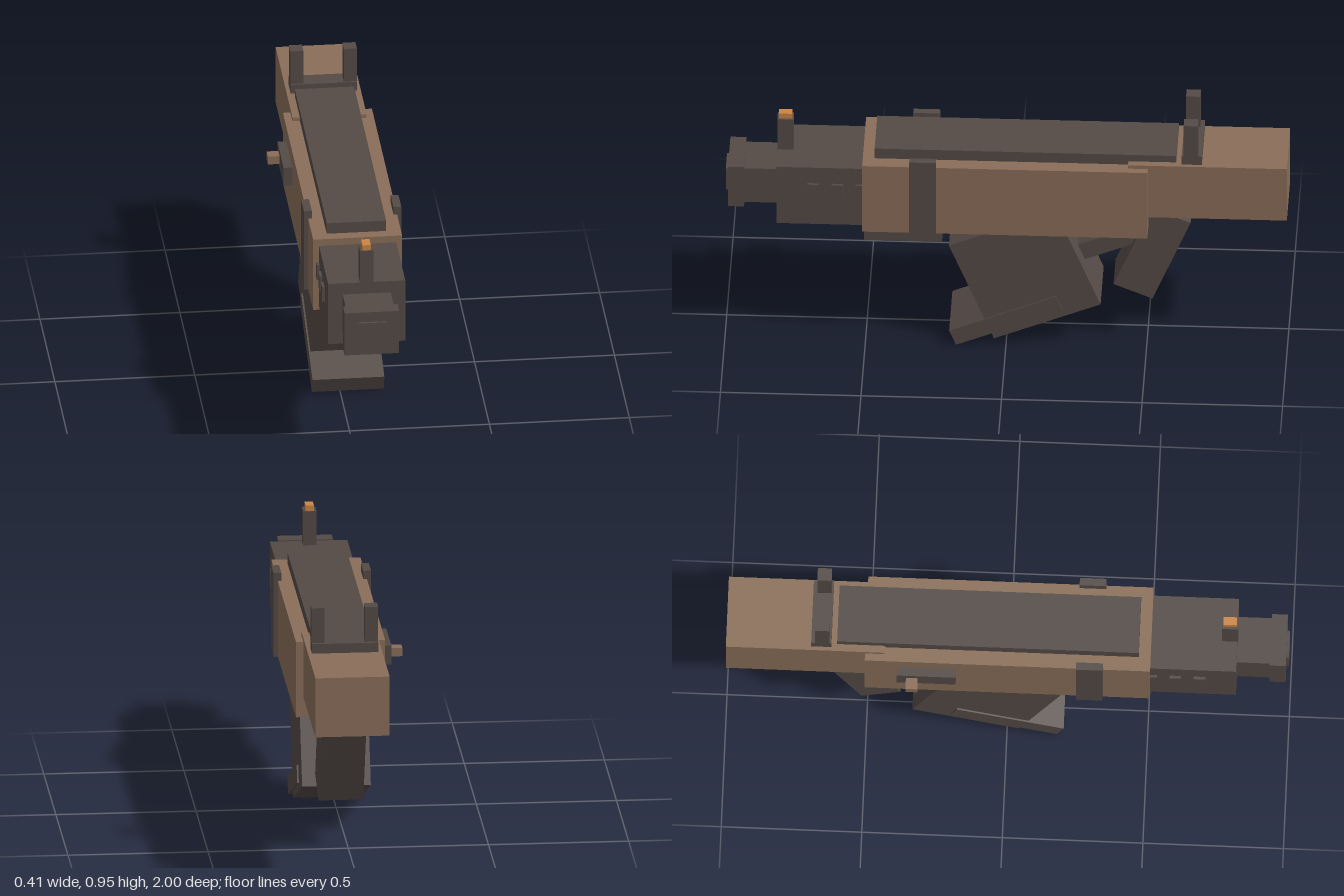
import * as THREE from 'three';

const dark = new THREE.MeshStandardMaterial({ color: 0x544a46 });
dark.name = 'dark metal';
const brown = new THREE.MeshStandardMaterial({ color: 0x8a6e59 });
brown.name = 'brown wood';
const orange = new THREE.MeshStandardMaterial({ color: 0xcc8546 });
orange.name = 'orange marker';

const CX = 0.028; // the main body sits slightly off centre because of the bolt

export function createModel() {
  const model = new THREE.Group();
  model.name = 'blockyPropBlaster';

  // Box from its extents on each axis
  const block = (name, mat, [x0, x1], [y0, y1], [z0, z1]) => {
    const mesh = new THREE.Mesh(new THREE.BoxGeometry(x1 - x0, y1 - y0, z1 - z0), mat);
    mesh.position.set((x0 + x1) / 2, (y0 + y1) / 2, (z0 + z1) / 2);
    mesh.name = name;
    model.add(mesh);
    return mesh;
  };
  // Extents of a given width about the body's middle plane
  const mid = (width) => [CX - width / 2, CX + width / 2];
  // Box tilted about the x axis
  const tilted = (name, size, y, z, angle) => {
    const mesh = new THREE.Mesh(new THREE.BoxGeometry(...size), dark);
    mesh.position.set(CX, y, z);
    mesh.rotation.x = angle;
    mesh.name = name;
    model.add(mesh);
  };

  // Body and stock
  block('body', brown, mid(0.318), [0.497, 0.776], [-0.505, 0.51]);
  block('stock', brown, mid(0.265), [0.571, 0.79], [-1, -0.435]);
  block('topCover', dark, mid(0.212), [0.76, 0.817], [-0.605, 0.468]);

  // Barrel, stepping down to the muzzle
  block('shroud', dark, mid(0.276), [0.511, 0.75], [0.49, 0.815]);
  block('barrel', dark, mid(0.172), [0.563, 0.706], [0.8, 0.94]);
  block('muzzle', dark, mid(0.195), [0.551, 0.718], [0.933, 0.99]);
  block('muzzleTip', dark, mid(0.101), [0.59, 0.68], [0.98, 1]);

  // Side vents and clamps, mirrored
  for (const side of [-1, 1]) {
    const pair = (a, b) => [CX + side * a, CX + side * b].sort((p, q) => p - q);
    for (const z of [0.685, 0.599, 0.513])
      block('vent', dark, pair(0.13, 0.148), [0.626, 0.684], [z - 0.021, z + 0.021]);
    block('clamp', dark, pair(0.146, 0.174), [0.495, 0.806], [0.247, 0.342]);
    block('rearSightPost', dark, pair(0.072, 0.119), [0.82, 0.954], [-0.683, -0.632]);
  }
  block('rearSightBase', dark, mid(0.237), [0.775, 0.825], [-0.697, -0.625]);

  // Front sight
  block('frontSight', dark, mid(0.048), [0.74, 0.876], [0.76, 0.818]);
  block('frontSightMarker', orange, mid(0.03), [0.87, 0.896], [0.765, 0.813]);

  // Bolt on the right side
  block('boltPlate', dark, [-0.163, -0.12], [0.65, 0.72], [-0.39, -0.18]);
  block('boltKnob', brown, [-0.205, -0.155], [0.669, 0.7], [-0.357, -0.315]);

  // Rail under the body
  block('underRail', dark, mid(0.133), [0.401, 0.485], [0.23, 0.508]);

  // Tilted lower parts
  tilted('magazine', [0.245, 0.422, 0.41], 0.305, -0.067, 0.39);
  tilted('magazineBase', [0.257, 0.064, 0.41], 0.112, 0, 0.39);
  tilted('triggerGuard', [0.1, 0.066, 0.25], 0.389, -0.332, 0.39);
  tilted('grip', [0.16, 0.353, 0.15], 0.382, -0.518, -0.395);

  return model;
}
